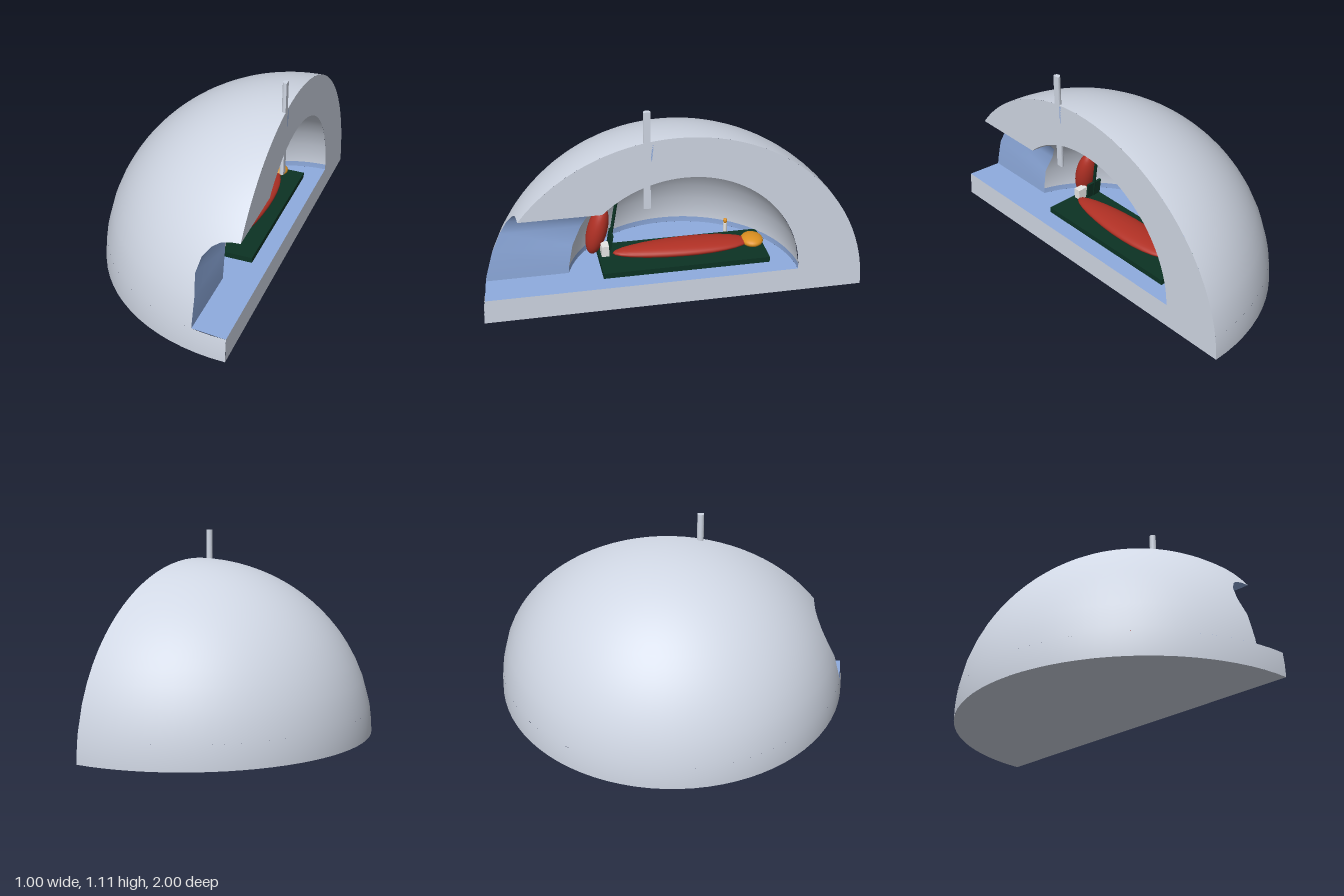
import * as THREE from 'three';

const CUT = 0.5, FLOOR = 0.133, DOOR_TOP = 0.57;
const OUTER = { r: 1, h: 0.96, y0: 0, cz: 0 };
const INNER = { r: 0.61, h: 0.605, y0: FLOOR, cz: -0.04 };

// Door half-width at each height, measured from the cut plane
const DOOR = [[0.133, 0.185], [0.165, 0.185], [0.3, 0.185], [0.4, 0.2], [0.48, 0.18],
  [0.53, 0.14], [0.555, 0.1], [0.567, 0.05], [0.57, 0]];

const radius = (d, y) => d.r * Math.sqrt(Math.max(0, 1 - ((y - d.y0) / d.h) ** 2));
const doorZ = (d, y, w) => d.cz + Math.sqrt(Math.max(0, radius(d, y) ** 2 - w * w));

// Heights from the top of the door to the crown of a dome
function crownRows(d, n = 14) {
  const t0 = Math.asin((DOOR_TOP - d.y0) / d.h);
  return Array.from({ length: n + 1 }, (_, i) =>
    [d.y0 + d.h * Math.sin(t0 + (Math.PI / 2 - t0) * i / n), 0]);
}

function gridIndex(rows, cols, flip) {
  const index = [];
  for (let i = 0; i < rows - 1; i++) for (let j = 0; j < cols - 1; j++) {
    const a = i * cols + j, b = a + cols;
    if (flip) index.push(a, a + 1, b, b, a + 1, b + 1);
    else index.push(a, b, a + 1, b, b + 1, a + 1);
  }
  return index;
}

// Half dome swept from the door edge (or cut plane) round to the back
function halfDome(d, rows, inward = false) {
  const cols = 41, pos = [], nor = [], s = inward ? -1 : 1, n = new THREE.Vector3();
  for (const [y, w] of rows) {
    const R = radius(d, y);
    const start = w > 0 ? Math.asin(Math.min(1, w / R)) : 0;
    for (let j = 0; j < cols; j++) {
      const a = start + (Math.PI - start) * j / (cols - 1);
      const x = -R * Math.sin(a), z = R * Math.cos(a);
      pos.push(CUT + x, y, d.cz + z);
      n.set(x / d.r ** 2, (y - d.y0) / d.h ** 2, z / d.r ** 2).normalize().multiplyScalar(s);
      nor.push(n.x, n.y, n.z);
    }
  }
  const g = new THREE.BufferGeometry();
  g.setAttribute('position', new THREE.Float32BufferAttribute(pos, 3));
  g.setAttribute('normal', new THREE.Float32BufferAttribute(nor, 3));
  g.setIndex(gridIndex(rows.length, cols, inward));
  return g;
}

// Arched side wall of the entrance, from the outer dome to the chamber
function tunnelWall() {
  const pos = [];
  for (const [y, w] of DOOR) {
    pos.push(CUT - w, y, doorZ(OUTER, y, w), CUT - w, y, doorZ(INNER, y, w));
  }
  const g = new THREE.BufferGeometry();
  g.setAttribute('position', new THREE.Float32BufferAttribute(pos, 3));
  g.setIndex(gridIndex(DOOR.length, 2, true));
  g.computeVertexNormals();
  return g;
}

// Flat section through the snow, drawn in (-z, y)
function cutFace() {
  const pts = [[1, 0], [doorZ(OUTER, FLOOR, 0), FLOOR]];
  const arc = (d, from, to) => {
    for (let i = 0; i <= 40; i++) {
      const a = from + (to - from) * i / 40;
      pts.push([d.cz + d.r * Math.cos(a), d.y0 + d.h * Math.sin(a)]);
    }
  };
  arc(INNER, Math.PI, Math.asin((DOOR_TOP - INNER.y0) / INNER.h));
  arc(OUTER, Math.asin(DOOR_TOP / OUTER.h), Math.PI);
  const shape = new THREE.Shape(pts.map(([z, y]) => new THREE.Vector2(-z, y)));
  return new THREE.ShapeGeometry(shape).rotateY(Math.PI / 2).translate(CUT, 0, 0);
}

function floorShape() {
  const w = DOOR[0][1], start = Math.asin(w / INNER.r);
  const pts = [new THREE.Vector2(CUT, -doorZ(OUTER, FLOOR, 0)),
    new THREE.Vector2(CUT - w, -doorZ(OUTER, FLOOR, w))];
  for (let i = 0; i <= 32; i++) {
    const a = start + (Math.PI - start) * i / 32;
    pts.push(new THREE.Vector2(CUT - INNER.r * Math.sin(a), -INNER.cz - INNER.r * Math.cos(a)));
  }
  return new THREE.ShapeGeometry(new THREE.Shape(pts)).rotateX(-Math.PI / 2).translate(0, FLOOR, 0);
}

export function createModel() {
  const model = new THREE.Group();
  const mat = (name, color, side = THREE.FrontSide) => {
    const m = new THREE.MeshStandardMaterial({ color, side });
    m.name = name;
    return m;
  };
  const snow = mat('snow', 0xd0d7e4);
  const ice = mat('blueIce', 0x8facdf, THREE.DoubleSide);
  const red = mat('redFabric', 0xb03024);
  const green = mat('darkGreen', 0x0c3324);
  const orange = mat('orange', 0xdc9020);
  const white = mat('white', 0xf0f0ee);
  const add = (name, geometry, material, x = 0, y = 0, z = 0, parent = model) => {
    const m = new THREE.Mesh(geometry, material);
    m.name = name;
    m.position.set(x, y, z);
    parent.add(m);
    return m;
  };
  const ellipsoid = (x, y, z) => new THREE.SphereGeometry(1, 28, 18).scale(x, y, z);

  // Snow shelter, cut open along its middle
  add('domeBase', halfDome(OUTER, [[0, 0], [0.07, 0], [FLOOR, 0]]), snow);
  add('domeShell', halfDome(OUTER, [...DOOR, ...crownRows(OUTER).slice(1)]), snow);
  add('chamberWall', halfDome(INNER, [...DOOR.slice(1), ...crownRows(INNER).slice(1)], true), snow);
  add('chamberSkirting', halfDome(INNER, DOOR.slice(0, 2), true), ice);
  add('cutFace', cutFace(), snow);
  add('underside', new THREE.CircleGeometry(1, 48, Math.PI / 2, Math.PI).rotateX(Math.PI / 2), snow, CUT);
  add('entranceWall', tunnelWall(), ice);
  add('floor', floorShape(), ice);

  // Ventilation pole, halved by the cut, with the edge of its hole
  const half = new THREE.Shape();
  half.absarc(0, 0, 0.0185, Math.PI * 0.39, Math.PI * 1.61, false);
  const pole = new THREE.ExtrudeGeometry(half, { depth: 0.53, bevelEnabled: false, curveSegments: 16 });
  add('ventPole', pole.rotateX(-Math.PI / 2), snow, 0.4935, 0.58, 0.155);
  add('ventHole', new THREE.BoxGeometry(0.004, 0.1, 0.012), ice, 0.498, 0.895, 0.13);

  // Sleeping mat with bag, narrower at the feet
  add('sleepingMat', new THREE.BoxGeometry(0.3, 0.03, 0.89), green, 0.26, 0.15, -0.075);
  const bag = ellipsoid(0.088, 0.033, 0.37);
  const p = bag.attributes.position;
  for (let i = 0; i < p.count; i++) p.setX(i, p.getX(i) * (1 - 0.5 * p.getZ(i)));
  bag.computeVertexNormals();
  add('sleepingBag', bag, red, 0.26, 0.193, -0.07);
  add('bagHood', ellipsoid(0.07, 0.029, 0.06), orange, 0.26, 0.194, -0.458);

  // Backpack leaning by the entrance
  add('backpack', ellipsoid(0.06, 0.145, 0.054), red, 0.15, 0.28, 0.365).rotation.x = -0.25;

  // Shovel leaning beside it
  const shovel = new THREE.Group();
  shovel.name = 'shovel';
  shovel.position.set(0.155, 0.135, 0.31);
  shovel.rotation.x = -0.16;
  model.add(shovel);
  add('shovelHandle', new THREE.CylinderGeometry(0.009, 0.009, 0.37, 12), green, 0, 0.195, 0, shovel);
  add('shovelBlade', new THREE.BoxGeometry(0.09, 0.12, 0.012), green, 0, 0.065, 0, shovel);
  add('shovelGrip', new THREE.BoxGeometry(0.05, 0.015, 0.015), green, 0, 0.375, 0, shovel);

  // Small stove and candle
  add('stove', new THREE.BoxGeometry(0.06, 0.06, 0.04), white, 0.215, 0.195, 0.335);
  add('candle', new THREE.CylinderGeometry(0.011, 0.011, 0.06, 12), white, 0.06, 0.163, -0.36);
  add('candleFlame', ellipsoid(0.011, 0.016, 0.011), orange, 0.06, 0.205, -0.36);

  return model;
}
